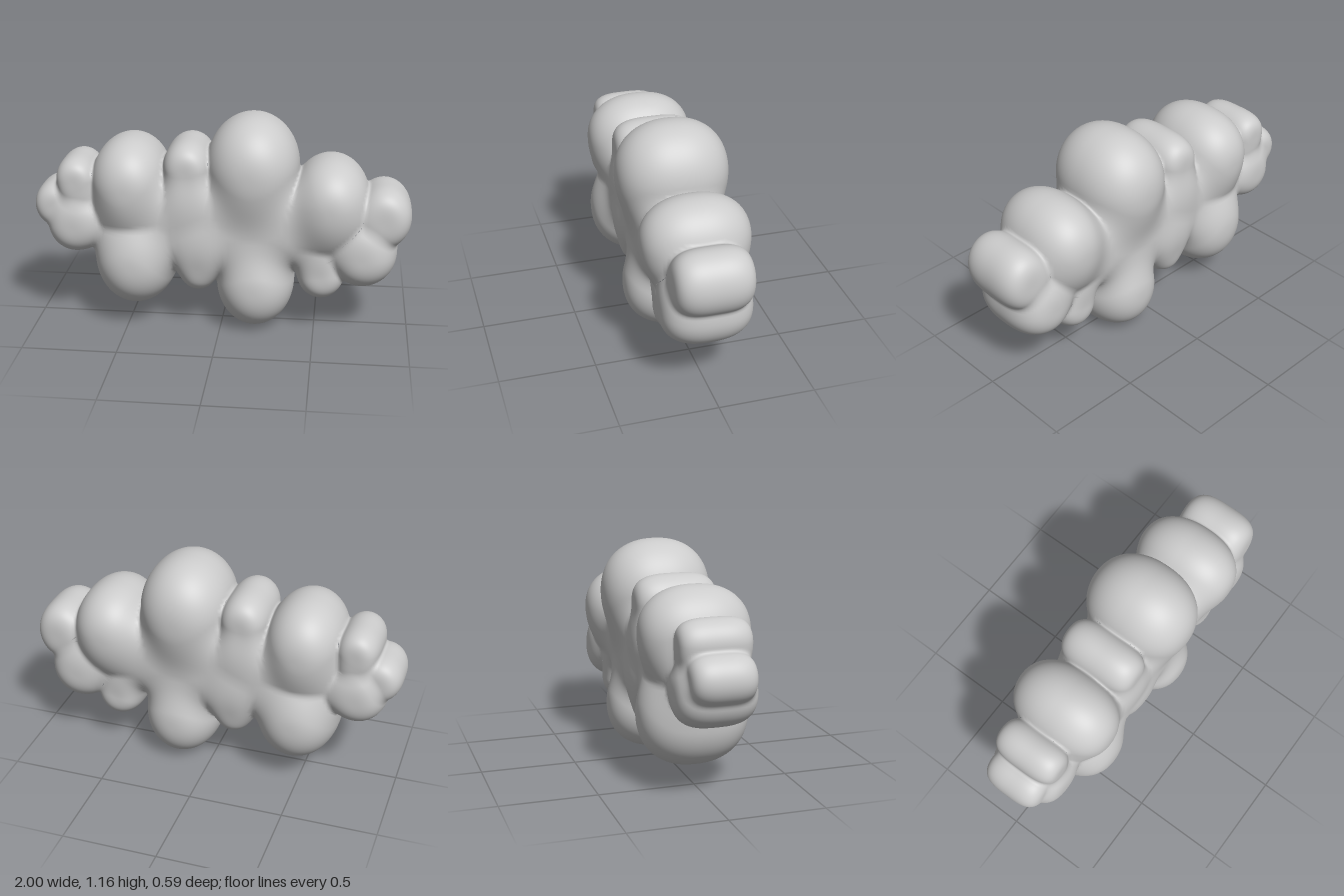
import * as THREE from 'three';

const MID = 0.58; // height of the cloud's middle line

// name, centre x, centre y, radius x, outer radius y, inner radius y (towards the middle line),
// half depth z, roundness (2 = ellipsoid, higher = boxier), width of the soft seam
const PUFFS = [
  ['topPuff', 0.16, 0.88, 0.245, 0.28, 0.32, 0.293, 2.25, 0.02],
  ['upperLeftPuff', 0.57, 0.715, 0.205, 0.23, 0.27, 0.28, 2.3, 0.02],
  ['leftEndPuff', 0.85, 0.645, 0.146, 0.167, 0.167, 0.2, 3.3, 0.02],
  ['lowerLeftPuff', 0.745, 0.44, 0.185, 0.185, 0.22, 0.233, 2.6, 0.02],
  ['smallLowerLeftPuff', 0.53, 0.32, 0.13, 0.14, 0.17, 0.195, 3, 0.02],
  ['bottomPuff', 0.18, 0.245, 0.208, 0.245, 0.26, 0.264, 2.3, 0.02],
  ['smallLowerPuff', -0.12, 0.37, 0.125, 0.17, 0.24, 0.21, 3, 0.02],
  ['lowerRightPuff', -0.46, 0.375, 0.225, 0.27, 0.26, 0.285, 2.3, 0.02],
  ['upperRightPuff', -0.485, 0.79, 0.207, 0.24, 0.29, 0.285, 2.3, 0.02],
  ['smallTopPuff', -0.175, 0.885, 0.13, 0.145, 0.3, 0.218, 3.2, 0.02],
  ['rightPuff', -0.78, 0.555, 0.153, 0.16, 0.19, 0.205, 2.9, 0.02],
  ['rightEndPuff', -0.882, 0.655, 0.118, 0.125, 0.125, 0.165, 3.3, 0.02],
  ['smallUpperRightPuff', -0.765, 0.805, 0.112, 0.12, 0.19, 0.185, 3.3, 0.02],
  ['core', 0.02, MID, 0.76, 0.25, 0.25, 0.225, 3, 0.08],
].map(([name, x, y, rx, ry, inner, h, n, blend]) =>
  ({ name, x, y, rx, ry, inner, h, n, blend, r: Math.min(rx, ry, h) }));

const BURIED = -0.035; // anything deeper than this is hidden inside the cloud

// 1 on the puff's own surface, growing linearly from its centre
function gauge(p, dx, dy, dz) {
  const ry = dy * (MID - p.y) > 0 ? p.inner : p.ry;
  return Math.pow(Math.pow(Math.hypot(dx / p.rx, dy / ry), p.n) + Math.pow(Math.abs(dz) / p.h, p.n), 1 / p.n);
}

// Softly blended union of all puffs: negative inside, positive outside
function field(x, y, z) {
  let d = Infinity;
  for (const p of PUFFS) {
    const e = (gauge(p, x - p.x, y - p.y, z) - 1) * p.r;
    const t = Math.max(p.blend - Math.abs(d - e), 0) / p.blend;
    d = Math.min(d, e) - (t * t * p.blend) / 4;
  }
  return d;
}

function gradient(v, out) {
  const e = 0.002;
  return out.set(
    field(v.x + e, v.y, v.z) - field(v.x - e, v.y, v.z),
    field(v.x, v.y + e, v.z) - field(v.x, v.y - e, v.z),
    field(v.x, v.y, v.z + e) - field(v.x, v.y, v.z - e),
  ).divideScalar(2 * e);
}

// A sphere shaped into one puff, then drawn out to the blended surface
function puffGeometry(p) {
  const isCore = p.name === 'core';
  const geo = new THREE.SphereGeometry(1, isCore ? 144 : 72, isCore ? 72 : 48);
  const pos = geo.attributes.position;
  const nor = geo.attributes.normal;
  const v = new THREE.Vector3();
  const g = new THREE.Vector3();
  const points = [];
  const normals = [];
  const visible = [];

  for (let i = 0; i < pos.count; i++) {
    v.fromBufferAttribute(pos, i);
    v.set(v.x * p.rx, v.y * p.ry, v.z * p.h);
    v.divideScalar(gauge(p, v.x, v.y, v.z));
    v.x += p.x;
    v.y += p.y;
    let f = field(v.x, v.y, v.z);
    visible[i] = f > BURIED;
    if (visible[i]) {
      for (let k = 0; k < 6; k++) {
        gradient(v, g);
        v.addScaledVector(g, -f / Math.max(g.lengthSq(), 0.1));
        f = field(v.x, v.y, v.z);
      }
      visible[i] = Math.abs(f) < 0.002;
    }
    gradient(v, g).normalize();
    pos.setXYZ(i, v.x, v.y, v.z);
    nor.setXYZ(i, g.x, g.y, g.z);
    points.push(v.clone());
    normals.push(g.clone());
  }

  // Leave out faces hidden inside neighbouring puffs or folded over at a seam
  const idx = geo.index.array;
  const kept = [];
  const faceNormal = new THREE.Vector3();
  for (let i = 0; i < idx.length; i += 3) {
    const tri = [idx[i], idx[i + 1], idx[i + 2]];
    if (!tri.every((j) => visible[j])) continue;
    THREE.Triangle.getNormal(...tri.map((j) => points[j]), faceNormal);
    if (tri.every((j) => faceNormal.dot(normals[j]) > 0.3)) kept.push(...tri);
  }
  geo.setIndex(kept);
  return geo;
}

export function createModel() {
  const cloud = new THREE.Group();
  cloud.name = 'cloud';
  const material = new THREE.MeshStandardMaterial({ color: 0xcccccc });
  for (const p of PUFFS) {
    const mesh = new THREE.Mesh(puffGeometry(p), material);
    mesh.name = p.name;
    cloud.add(mesh);
  }
  return cloud;
}
